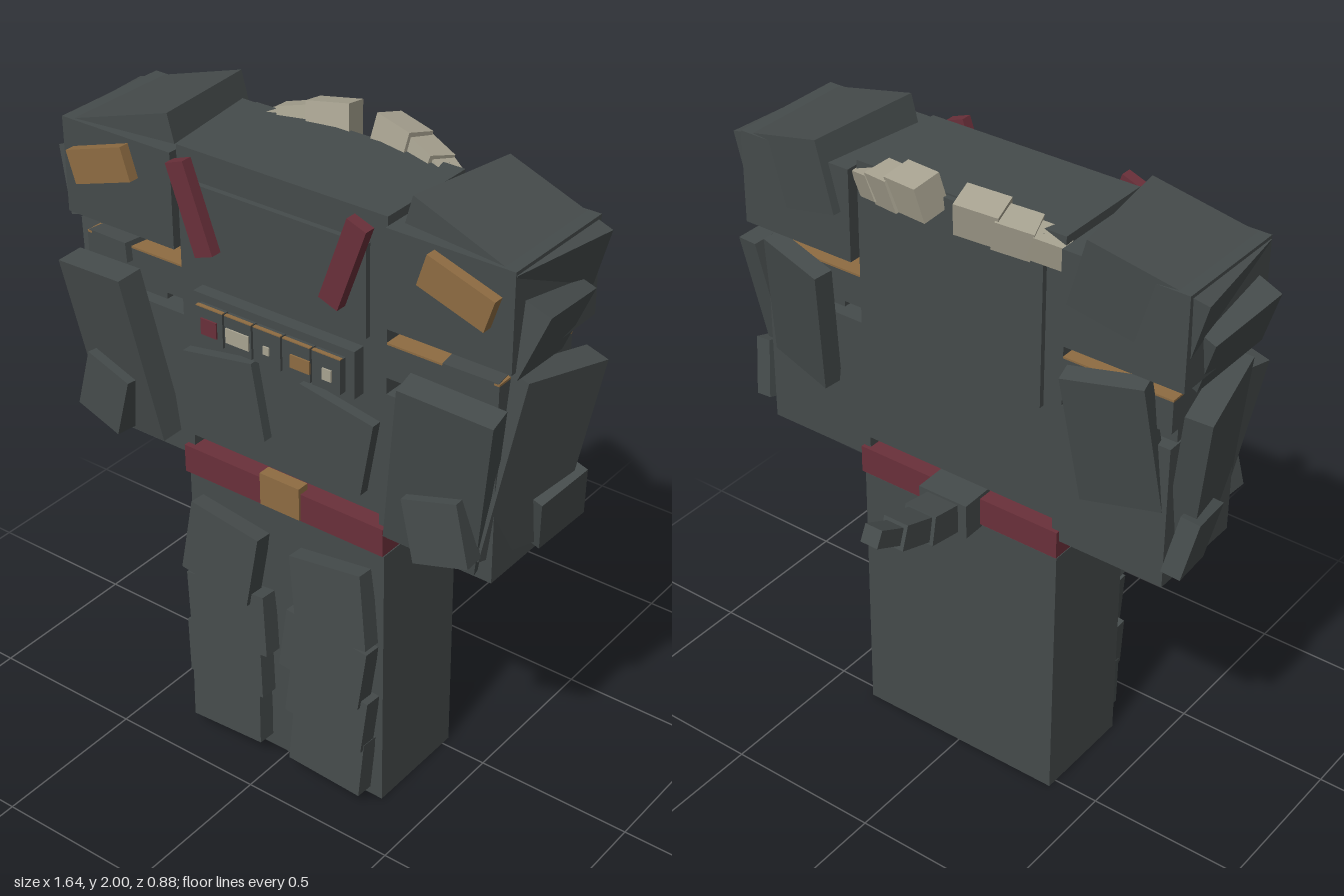
import * as THREE from 'three';

const mat = (name, color) => {
  const m = new THREE.MeshStandardMaterial({ color });
  m.name = name;
  return m;
};
const deg = Math.PI / 180;

export function createModel() {
  const dark = mat('dark slate', 0x454b4b);
  const red = mat('maroon', 0x6a303a);
  const gold = mat('bronze', 0x8e6c42);
  const bone = mat('bone', 0xa8a391);
  const group = new THREE.Group();

  // box from size, centre and rotation in degrees
  const box = (name, material, size, pos, rot = [0, 0, 0]) => {
    const m = new THREE.Mesh(new THREE.BoxGeometry(...size), material);
    m.name = name;
    m.position.set(...pos);
    m.rotation.set(rot[0] * deg, rot[1] * deg, rot[2] * deg);
    group.add(m);
    return m;
  };
  // the same box on the left (+x) and mirrored on the right
  const pair = (name, material, size, [x, y, z], [rx, ry, rz] = [0, 0, 0]) => {
    box(name + 'Left', material, size, [x, y, z], [rx, ry, rz]);
    box(name + 'Right', material, size, [-x, y, z], [rx, -ry, -rz]);
  };

  // legs with overlapping front plates
  pair('leg', dark, [0.35, 0.885, 0.345], [0.175, 0.4425, 0.14]);
  const legPlates = [
    [0.198, 0.69, 0.25, 0.24, 8],
    [0.178, 0.48, 0.29, 0.20, -6],
    [0.19, 0.31, 0.28, 0.18, -5],
    [0.19, 0.14, 0.26, 0.19, -3],
  ];
  for (const [x, y, w, h, tilt] of legPlates)
    pair('legPlate', dark, [w, h, 0.06], [x, y, 0.345], [-4, 0, tilt]);

  // belt and buckle
  box('belt', red, [0.71, 0.09, 0.37], [0, 0.94, 0.1425]);
  box('buckle', gold, [0.14, 0.105, 0.04], [0, 0.953, 0.315]);

  // torso
  box('torso', dark, [0.70, 0.91, 0.34], [0, 1.475, 0.14]);
  box('chestPanel', dark, [0.59, 0.275, 0.02], [0, 1.7025, 0.317]);
  box('backPanel', dark, [0.58, 0.54, 0.02], [0, 1.655, -0.037]);
  pair('bellyPlate', dark, [0.25, 0.24, 0.04], [0.187, 1.22, 0.322], [0, 0, -10]);
  pair('chestStrap', red, [0.065, 0.27, 0.035], [0.255, 1.79, 0.36], [0, 0, -20]);

  // row of pouches across the chest with bronze tops and painted badges
  box('pouchBacking', dark, [0.55, 0.145, 0.04], [0, 1.457, 0.33]);
  for (let i = 0; i < 5; i++) {
    const x = -0.2 + i * 0.1;
    box('pouch', dark, [0.093, 0.105, 0.03], [x, 1.452, 0.36]);
    box('pouchTop', gold, [0.093, 0.003, 0.012], [x, 1.506, 0.369]);
  }
  const badge = (material, w, h, x) =>
    box('badge', material, [w, h, 0.006], [x, 1.448, 0.377]);
  badge(red, 0.055, 0.05, -0.2);
  badge(bone, 0.08, 0.045, -0.1);
  badge(bone, 0.02, 0.025, 0);
  badge(gold, 0.065, 0.04, 0.115);
  badge(bone, 0.03, 0.035, 0.205);

  // shoulders
  pair('shoulder', dark, [0.39, 0.29, 0.39], [0.552, 1.765, 0.135]);
  pair('shoulderPad', dark, [0.36, 0.22, 0.37], [0.57, 1.834, 0.12], [-2, -7, -15.5]);
  pair('shoulderSidePlate', dark, [0.22, 0.2, 0.27], [0.668, 1.71, 0.17], [-9, 7, -20]);
  pair('shoulderBadge', gold, [0.215, 0.1, 0.045], [0.593, 1.815, 0.34], [0, 0, -18]);

  // arms, with a bronze cuff on the upper face
  pair('forearm', dark, [0.37, 0.46, 0.34], [0.515, 1.18, 0.14]);
  pair('upperArm', dark, [0.35, 0.1, 0.34], [0.525, 1.51, 0.14]);
  pair('armCuff', gold, [0.35, 0.006, 0.34], [0.525, 1.563, 0.14]);
  pair('elbow', dark, [0.25, 0.1, 0.26], [0.57, 1.44, 0.14]);
  pair('armFrontPlate', dark, [0.275, 0.53, 0.08], [0.56, 1.255, 0.345], [8, 8, -9]);
  pair('armFrontSmallPlate', dark, [0.17, 0.19, 0.07], [0.58, 1.115, 0.378], [-3, 5, 14]);
  pair('armTopBlock', dark, [0.16, 0.06, 0.08], [0.61, 1.545, 0.28], [0, 8, -5]);
  pair('armSidePlate', dark, [0.08, 0.56, 0.3], [0.708, 1.28, 0.15], [-9, -11, -9]);
  pair('armSideSmallPlate', dark, [0.06, 0.18, 0.18], [0.733, 1.085, 0.06], [12, -10, -9]);
  pair('armBackPlate', dark, [0.24, 0.42, 0.06], [0.545, 1.395, -0.06], [-8, -13, 5]);

  // bone collar along the upper back, leaning backwards
  pair('collarInner', bone, [0.13, 0.11, 0.09], [0.11, 1.928, -0.07], [-14, -11, -9]);
  pair('collarMiddle', bone, [0.11, 0.10, 0.085], [0.208, 1.905, -0.05], [-14, -17, -15]);
  pair('collarOuter', bone, [0.10, 0.08, 0.075], [0.295, 1.882, -0.022], [-14, -22, -22]);

  // tail, segment by segment: [z, y] joints with width and height
  const joints = [[0, 0.94], [-0.1, 0.938], [-0.21, 0.957], [-0.325, 0.995], [-0.422, 1.042]];
  const sections = [[0.17, 0.115], [0.11, 0.095], [0.085, 0.08], [0.06, 0.055]];
  sections.forEach(([w, h], i) => {
    const [z0, y0] = joints[i], [z1, y1] = joints[i + 1];
    const length = Math.hypot(z1 - z0, y1 - y0);
    box('tailSegment', dark, [w, h, length + 0.015],
      [0, (y0 + y1) / 2, (z0 + z1) / 2], [Math.atan2(y1 - y0, z0 - z1) / deg, 0, 0]);
  });
  return group;
}
